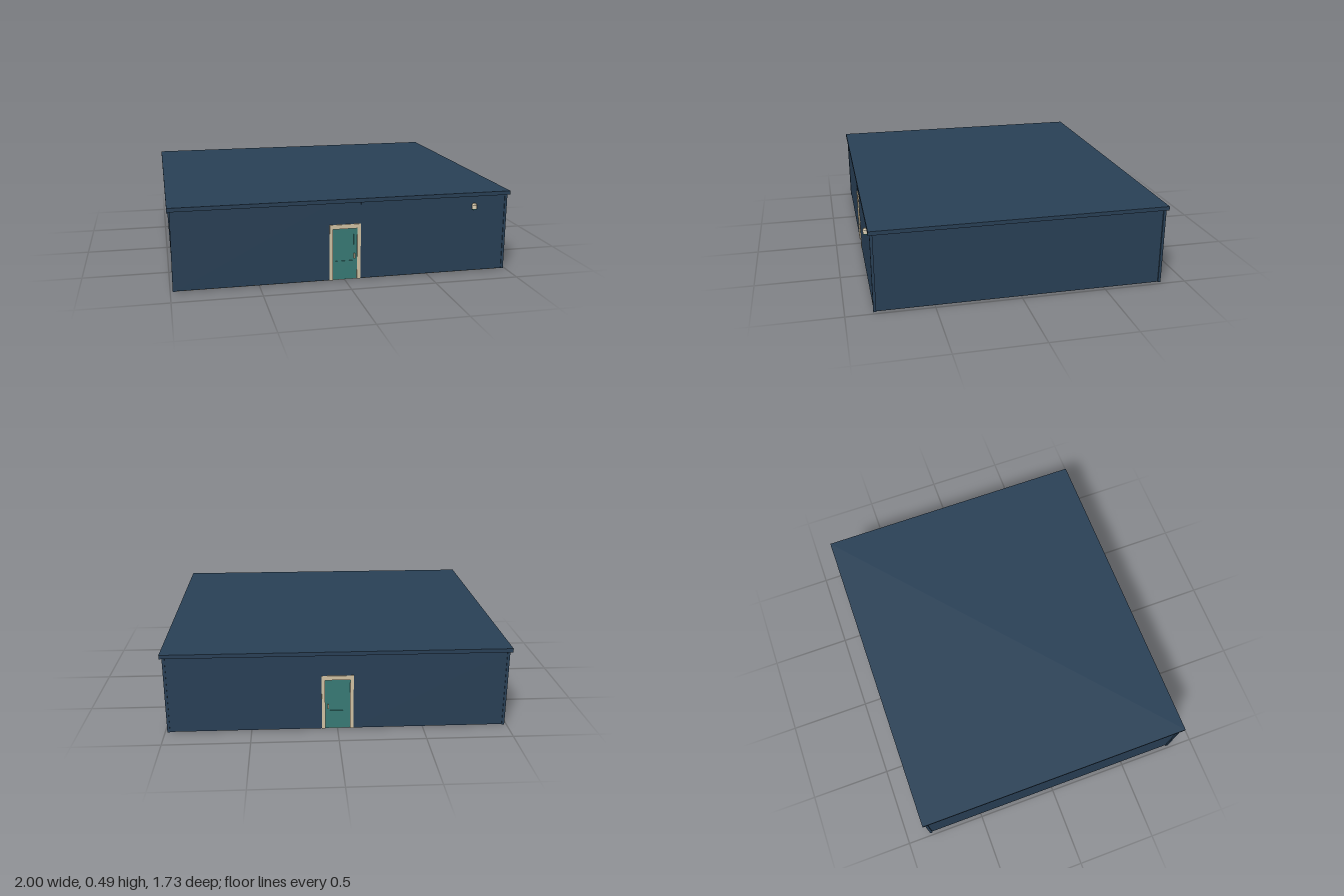
import * as THREE from 'three';

const mat = (name, color) => {
  const m = new THREE.MeshStandardMaterial({ color });
  m.name = name;
  return m;
};

export function createModel() {
  const wallPaint = mat('navyWall', 0x294056);
  const doorPaint = mat('tealDoor', 0x387b76);
  const trimPaint = mat('creamTrim', 0xd2c3a4);
  const floorPaint = mat('stoneFloor', 0xdccfb4);

  const model = new THREE.Group();
  model.name = 'building';

  // Box given by its minimum and maximum corners
  const box = (parent, name, material, x0, x1, y0, y1, z0, z1) => {
    const mesh = new THREE.Mesh(new THREE.BoxGeometry(x1 - x0, y1 - y0, z1 - z0), material);
    mesh.position.set((x0 + x1) / 2, (y0 + y1) / 2, (z0 + z1) / 2);
    mesh.name = name;
    parent.add(mesh);
  };
  // Interval on one side of the centre, in ascending order
  const span = (s, a, b) => (s > 0 ? [a, b] : [-b, -a]);

  const zF = 0.84, zB = -0.848, top = 0.463;

  // Floor and flat roof
  box(model, 'floor', floorPaint, -0.972, 0.972, 0, 0.008, zB + 0.008, zF - 0.008);
  box(model, 'roof', wallPaint, -1, 1, top, 0.486, -0.863, 0.852);

  // Side walls and corner posts standing slightly proud
  for (const s of [-1, 1]) {
    box(model, 'sideWall', wallPaint, ...span(s, 0.955, 0.979), 0.004, top, zB, zF);
    for (const [z0, z1] of [[zF - 0.012, zF + 0.004], [zB - 0.004, zB + 0.012]]) {
      box(model, 'cornerPost', wallPaint, ...span(s, 0.971, 0.986), 0.003, top, z0, z1);
    }
  }

  // End wall built around a doorway, facing local +z with its surface at z = 0
  const endWall = (name, hand) => {
    const g = new THREE.Group();
    g.name = name;
    for (const s of [-1, 1]) {
      box(g, 'wallPanel', wallPaint, ...span(s, 0.092, 0.972), 0.004, top, -0.022, 0);
      box(g, 'doorJamb', trimPaint, ...span(s, 0.072, 0.092), 0.002, 0.335, -0.022, 0.003);
    }
    box(g, 'wallAboveDoor', wallPaint, -0.092, 0.092, 0.335, top, -0.022, -0.003);
    box(g, 'doorHeader', trimPaint, -0.072, 0.072, 0.309, 0.335, -0.022, 0.003);

    // Door leaf with a sunken upper panel
    box(g, 'doorLeaf', doorPaint, -0.072, 0.072, 0.004, 0.309, -0.018, -0.008);
    box(g, 'doorStile', doorPaint, -0.072, -0.055, 0.004, 0.309, -0.009, -0.004);
    box(g, 'doorStile', doorPaint, 0.052, 0.072, 0.004, 0.309, -0.009, -0.004);
    box(g, 'doorTopRail', doorPaint, -0.055, 0.052, 0.272, 0.309, -0.009, -0.004);
    box(g, 'doorLowerPanel', doorPaint, -0.055, 0.052, 0.004, 0.115, -0.009, -0.004);

    // Handle
    const h = 0.056 * hand;
    box(g, 'doorHandle', trimPaint, h - 0.004, h + 0.004, 0.13, 0.158, -0.005, 0.008);
    model.add(g);
    return g;
  };

  endWall('frontWall', 1).position.z = zF;
  const back = endWall('backWall', -1);
  back.position.z = zB;
  back.rotation.y = Math.PI;

  // Wall lamp: a cream shade tapering to the top, on a teal base
  const lamp = new THREE.Group();
  lamp.name = 'wallLamp';
  const turned = (name, material, rTop, rBottom, height, y) => {
    const m = new THREE.Mesh(new THREE.CylinderGeometry(rTop, rBottom, height, 20), material);
    m.position.set(0, y, 0.01);
    m.name = name;
    lamp.add(m);
  };
  turned('lampCap', trimPaint, 0.009, 0.015, 0.008, 0.014);
  turned('lampShade', floorPaint, 0.015, 0.015, 0.022, -0.001);
  turned('lampBase', doorPaint, 0.015, 0.013, 0.006, -0.015);
  lamp.position.set(0.778, 0.402, zF);
  model.add(lamp);

  return model;
}
